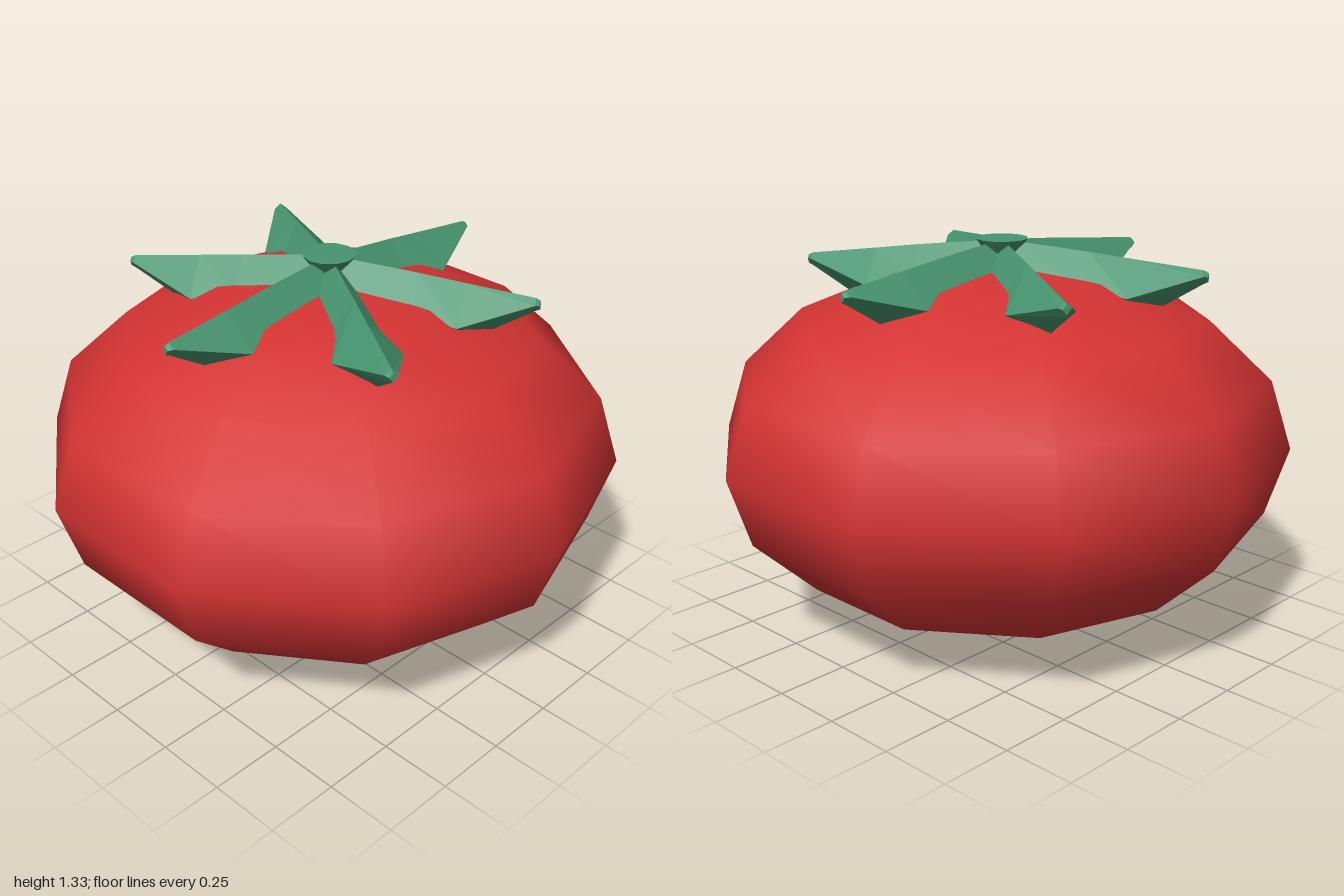
import * as THREE from 'three';

// Leaf cross-sections: distance out, half width, ridge y, side edge y, keel y
const SECTIONS = [
  [0, 0.085, 1.325, 1.215, 1.15],
  [0.3, 0.085, 1.295, 1.19, 1.12],
  [0.45, 0.115, 1.277, 1.165, 1.06],
  [0.685, 0.022, 1.25, 1.232, 1.205],
  [0.7, 0.012, 1.242, 1.23, 1.212],
];

// Diamond-section leaf pointing along +z
function leafGeometry() {
  const points = [];
  const index = [];
  for (const [r, w, top, side, keel] of SECTIONS) {
    points.push(0, top, r, w, side, r, 0, keel, r, -w, side, r);
  }
  for (let i = 0; i < SECTIONS.length - 1; i++) {
    for (let k = 0; k < 4; k++) {
      const a = i * 4 + k;
      const b = i * 4 + ((k + 1) % 4);
      index.push(a, a + 4, b, b, a + 4, b + 4);
    }
  }
  const e = (SECTIONS.length - 1) * 4;
  index.push(e, e + 2, e + 1, e, e + 3, e + 2);
  const indexed = new THREE.BufferGeometry();
  indexed.setAttribute('position', new THREE.Float32BufferAttribute(points, 3));
  indexed.setIndex(index);
  const geometry = indexed.toNonIndexed();
  geometry.computeVertexNormals(); // faceted
  return geometry;
}

export function createModel() {
  const red = new THREE.MeshStandardMaterial({ color: 0xd43333 });
  red.name = 'tomato red';
  const green = new THREE.MeshStandardMaterial({ color: 0x47946f });
  green.name = 'leaf green';

  const model = new THREE.Group();
  model.name = 'tomato';

  // Squashed ten-sided fruit
  const bodyGeometry = new THREE.SphereGeometry(1, 10, 8);
  bodyGeometry.scale(1, 0.625, 1);
  const body = new THREE.Mesh(bodyGeometry, red);
  body.name = 'fruit';
  body.position.y = 0.625;
  model.add(body);

  // Six leaves in a star
  const calyx = new THREE.Group();
  calyx.name = 'calyx';
  const leaf = leafGeometry();
  for (let i = 0; i < 6; i++) {
    const mesh = new THREE.Mesh(leaf, green);
    mesh.name = 'leaf' + (i + 1);
    mesh.rotation.y = (i * Math.PI) / 3;
    calyx.add(mesh);
  }

  // Small flared stem stub where the leaves meet
  const stub = new THREE.Mesh(new THREE.CylinderGeometry(0.09, 0.03, 0.08, 12).toNonIndexed(), green);
  stub.geometry.computeVertexNormals();
  stub.name = 'stemStub';
  stub.position.y = 1.29;
  calyx.add(stub);
  model.add(calyx);

  return model;
}
